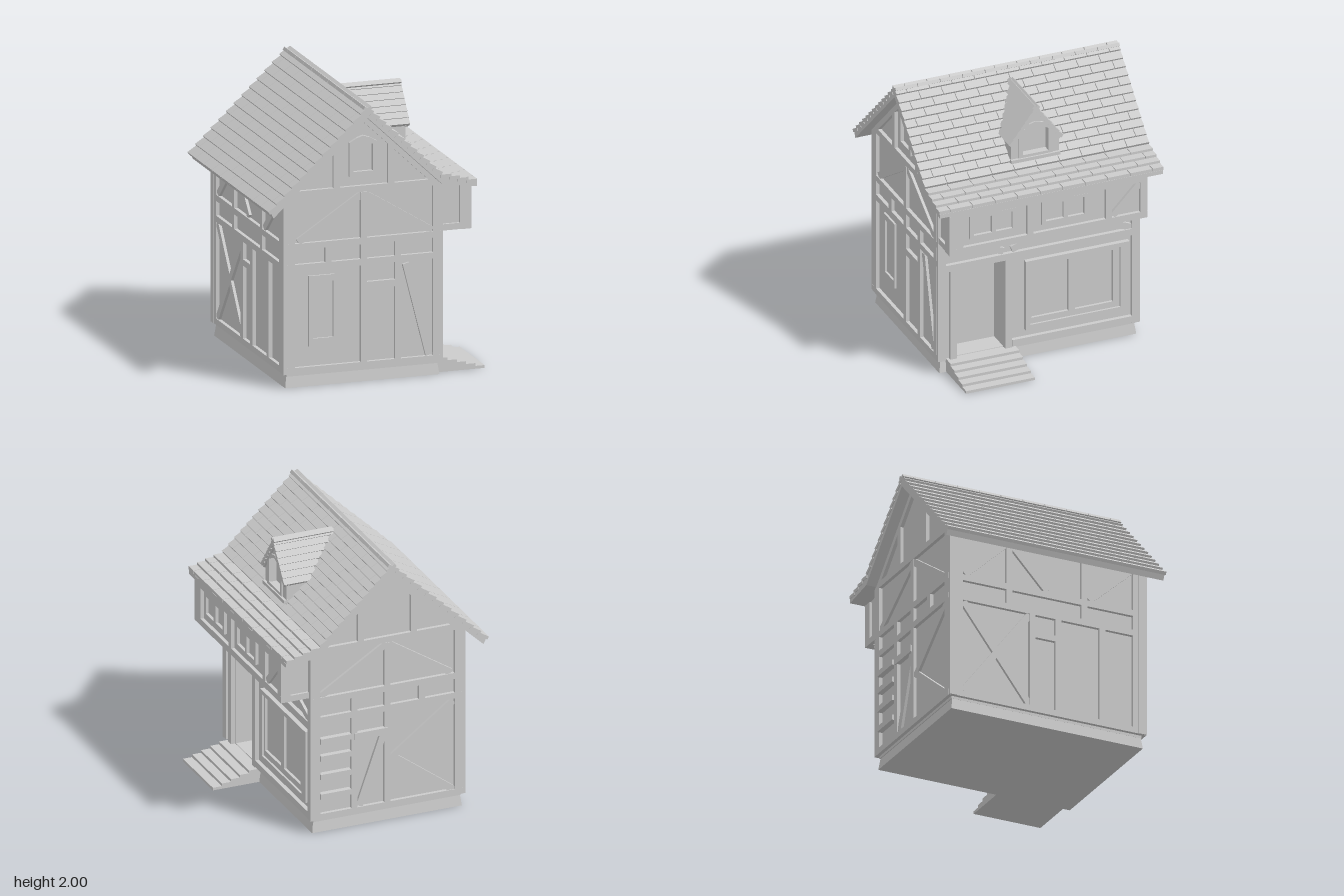
import * as THREE from 'three';
import { mergeGeometries } from 'three/addons/utils/BufferGeometryUtils.js';

const mat = new THREE.MeshStandardMaterial({ color: 0xcccccc, flatShading: true, side: THREE.DoubleSide });

const RIDGE_X = -0.09, PITCH = 0.955;
const roofY = (x) => 2 - PITCH * Math.abs(x - RIDGE_X);

function add(parent, name, geometry) {
  const mesh = new THREE.Mesh(geometry, mat);
  mesh.name = name;
  parent.add(mesh);
  return mesh;
}

// Box given by its minimum and maximum corners
function block(parent, name, x0, x1, y0, y1, z0, z1) {
  const g = new THREE.BoxGeometry(x1 - x0, y1 - y0, z1 - z0);
  return add(parent, name, g.translate((x0 + x1) / 2, (y0 + y1) / 2, (z0 + z1) / 2));
}

const toShape = (pts) => new THREE.Shape(pts.map((p) => new THREE.Vector2(...p)));
const rect = (x0, x1, y0, y1) => [[x0, y0], [x1, y0], [x1, y1], [x0, y1]];

// Outline with holes, extruded from z0 to z1
function slab(parent, name, pts, z0, z1, holes = []) {
  const shape = toShape(pts);
  shape.holes = holes.map(toShape);
  const g = new THREE.ExtrudeGeometry(shape, { depth: z1 - z0, bevelEnabled: false });
  return add(parent, name, g.translate(0, 0, z0));
}

// Timber lying on a wall plane between two points
function beam(wall, x1, y1, x2, y2, w = 0.045, d = 0.026, name = 'timber') {
  const g = new THREE.BoxGeometry(Math.hypot(x2 - x1, y2 - y1), w, d + 0.01);
  g.rotateZ(Math.atan2(y2 - y1, x2 - x1)).translate((x1 + x2) / 2, (y1 + y2) / 2, (d - 0.01) / 2);
  return add(wall, name, g);
}
const brace = (wall, ...p) => beam(wall, ...p, 0.05, 0.02, 'brace');

// Wall group: local x runs right as seen from outside, local z points outward
function wallGroup(root, name, turn, x, z) {
  const g = new THREE.Group();
  g.name = name;
  g.rotation.y = turn;
  g.position.set(x, 0, z);
  root.add(g);
  return g;
}

function clippedArch(x, w, y0, ySide, yTop) {
  const h = w / 2;
  return [[x - h, y0], [x + h, y0], [x + h, ySide], [x + h * 0.45, yTop - 0.015], [x, yTop],
    [x - h * 0.45, yTop - 0.015], [x - h, ySide]];
}

// Timbering shared by both gable ends; s mirrors x
function gableFrame(wall, s) {
  const m = (x1, y1, x2, y2, f = beam) => f(wall, s * x1, y1, s * x2, y2);
  for (const y of [0.122, 0.86, 1.01, 1.385]) m(-0.66, y, 0.47, y);
  for (const x of [-0.62, 0.44]) m(x, 0.1, x, 1.4);
  m(-0.09, 0.12, -0.09, 1.36);
  m(0.16, 0.12, 0.16, 1.01);
  m(-0.35, 0.86, -0.35, 1.01);
  m(-0.57, 1.04, -0.1, 1.345, brace);
  m(0.41, 1.04, -0.08, 1.345, brace);
  for (const x of [-0.29, 0.11]) m(x, 1.39, x, roofY(x) - 0.1);
  for (const x of [-0.66, 0.47]) m(x, roofY(x) - 0.11, RIDGE_X, 1.89);
}

// Courses of staggered tiles from a lower point up to an upper point (x, y), laid along z
function tileCourses(from, to, rows, halfLength, tileWidth, shift = 0) {
  const out = [], t = 0.024, gap = 0.005;
  const dx = (to[0] - from[0]) / rows, dy = (to[1] - from[1]) / rows;
  const angle = Math.atan2(dy - 0.018, dx), len = Math.hypot(dx, dy) * 1.2;
  for (let i = 0; i < rows; i++) {
    let z = -halfLength;
    let next = z + tileWidth * ((i + shift) % 2 ? 0.5 : 1);
    while (z < halfLength - 0.01) {
      const end = Math.min(next, halfLength);
      const g = new THREE.BoxGeometry(len, t, end - z - gap);
      g.translate(len / 2, -Math.sign(dx) * t / 2, 0).rotateZ(angle);
      out.push(g.translate(from[0] + dx * i, from[1] + dy * i, (z + end) / 2));
      z = end;
      next = z + tileWidth;
    }
  }
  return out;
}

function addRoof(root) {
  const kink = [0.46, 1.475], eaveR = [0.71, 1.405], eaveL = [-0.82, roofY(-0.82)], ridge = [RIDGE_X, 2];
  const low = (p, d) => [p[0], p[1] - d];
  slab(root, 'roofDeck', [low([-0.8, roofY(-0.8)], 0.03), low([-0.78, roofY(-0.78)], 0.09), low(ridge, 0.09),
    low(kink, 0.09), low(eaveR, 0.055), low(eaveR, 0.025), low(kink, 0.03), low(ridge, 0.03)], -0.838, 0.838);
  add(root, 'leftRoofTiles', mergeGeometries(tileCourses(eaveL, ridge, 13, 0.845, 0.169)));
  add(root, 'rightRoofTiles', mergeGeometries([
    ...tileCourses(kink, ridge, 12, 0.845, 0.169),
    ...tileCourses(eaveR, kink, 4, 0.845, 0.169, 1)]));
}

function addDormer(root) {
  const d = wallGroup(root, 'dormer', Math.PI / 2, 0.42, 0);
  const house = [[-0.18, 1.45], [0.18, 1.45], [0.18, 1.66], [0, 1.895], [-0.18, 1.66]];
  slab(d, 'dormerBody', house, -0.4, -0.05);
  slab(d, 'dormerFace', house, -0.05, 0, [clippedArch(0, 0.2, 1.55, 1.73, 1.78)]);
  slab(d, 'dormerWindowFrame', clippedArch(0, 0.25, 1.535, 1.745, 1.8), 0, 0.012,
    [clippedArch(0, 0.19, 1.555, 1.73, 1.775)]);
  beam(d, -0.185, 1.52, 0.185, 1.52, 0.025, 0.02, 'dormerSill');
  for (const s of [-1, 1]) {
    beam(d, s * 0.185, 1.64, 0, 1.885, 0.025, 0.018, 'dormerRafter');
    // Courses reach back until they meet the main roof
    const rows = 7, parts = [];
    for (let i = 0; i < rows; i++) {
      const z = 0.205 * (1 - i / rows), y = 1.66 + 0.27 * (i / rows);
      const back = (2 - y) / PITCH + RIDGE_X - 0.03, L = 0.445 - back;
      const g = new THREE.BoxGeometry(L, 0.026, 0.058).translate(0, -0.013, -0.029);
      g.rotateX(0.78);
      if (s < 0) g.rotateY(Math.PI);
      parts.push(g.translate(back + L / 2, y, s * z));
    }
    add(root, 'dormerTiles', mergeGeometries(parts));
  }
}

export function createModel() {
  const root = new THREE.Group();
  root.name = 'timberHouse';

  // Flared stone plinth
  const plinth = new THREE.BoxGeometry(1.13, 0.105, 1.48);
  const p = plinth.attributes.position;
  for (let i = 0; i < p.count; i++) if (p.getY(i) > 0) p.setXYZ(i, p.getX(i) * 0.975, p.getY(i), p.getZ(i) * 0.98);
  add(root, 'plinth', plinth.translate(-0.095, 0.0525, 0));

  // House body, leaving a deep layer on the right for the doorway
  const under = (x) => [x, roofY(x) - 0.08];
  slab(root, 'houseBody', [[-0.65, 0.08], [0.3, 0.08], [0.3, 1.3], [0.46, 1.3], under(0.46), under(RIDGE_X),
    under(-0.65)], -0.735, 0.735);
  for (const z of [-0.73, 0.73]) {
    block(root, 'leftCornerPost', -0.68, -0.61, 0.1, 1.37, z - 0.03, z + 0.03);
    block(root, 'rightCornerPost', 0.425, 0.49, 0.1, 1.37, z - 0.03, z + 0.03);
  }

  // Front gable
  const front = wallGroup(root, 'frontWall', 0, 0, 0.735);
  gableFrame(front, 1);
  brace(front, 0.22, 0.82, 0.39, 0.15);
  beam(front, -0.07, 0.69, 0.14, 0.69, 0.05);
  slab(front, 'frontWindowFrame', rect(-0.49, -0.3, 0.285, 0.79), -0.01, 0.015, [rect(-0.46, -0.31, 0.34, 0.745)]);
  slab(front, 'gableWindowFrame', clippedArch(-0.095, 0.2, 1.475, 1.72, 1.765), -0.01, 0.025,
    [clippedArch(-0.095, 0.14, 1.51, 1.7, 1.735)]);

  // Back gable with shelves and braces
  const back = wallGroup(root, 'backWall', Math.PI, 0, -0.735);
  gableFrame(back, -1);
  for (const y of [0.28, 0.43, 0.57, 0.7]) beam(back, -0.42, y, -0.19, y, 0.04, 0.04, 'shelf');
  beam(back, -0.16, 0.69, 0.09, 0.69, 0.05, 0.035);
  brace(back, -0.12, 0.15, 0.06, 0.66);
  brace(back, 0.12, 0.47, 0.59, 0.82);
  brace(back, 0.12, 0.49, 0.59, 0.14);

  // Left side wall
  const left = wallGroup(root, 'leftWall', -Math.PI / 2, -0.65, 0);
  for (const y of [0.122, 0.86, 1.01, 1.35]) beam(left, -0.73, y, 0.73, y);
  for (const u of [-0.68, -0.12, 0.08, 0.42, 0.68]) beam(left, u, 0.1, u, 0.86);
  for (const u of [-0.68, -0.3, 0.28, 0.68]) beam(left, u, 0.86, u, 1.35);
  brace(left, -0.65, 0.15, -0.14, 0.83);
  brace(left, -0.65, 0.83, -0.14, 0.15);
  beam(left, -0.12, 0.69, 0.08, 0.69);
  brace(left, -0.64, 1.04, -0.33, 1.33);
  brace(left, -0.27, 1.33, 0.0, 1.04);
  brace(left, 0.32, 1.04, 0.64, 1.33);

  // Right side wall with doorway and large double window
  const right = wallGroup(root, 'rightWall', Math.PI / 2, 0.46, 0);
  slab(right, 'rightWallPanel', rect(-0.735, 0.735, 0.08, 1.31), -0.16, 0, [rect(-0.605, -0.255, 0.1, 0.79)]);
  beam(right, -0.73, 0.815, 0.73, 0.815, 0.05, 0.03);
  for (const u of [-0.64, -0.228]) beam(right, u, 0.1, u, 0.8, 0.05, 0.03);
  beam(right, -0.2, 0.13, 0.73, 0.13, 0.05, 0.03);
  brace(right, -0.66, 1.02, -0.26, 0.86);
  brace(right, -0.2, 0.86, 0.23, 1.02);
  brace(right, 0.26, 1.02, 0.72, 0.84);
  slab(right, 'bigWindowSurround', rect(-0.1, 0.68, 0.21, 0.75), -0.01, 0.035, [rect(-0.065, 0.61, 0.25, 0.72)]);
  slab(right, 'bigWindowSash', rect(-0.065, 0.61, 0.25, 0.72), -0.01, 0.02,
    [rect(-0.05, 0.225, 0.295, 0.7), rect(0.275, 0.56, 0.295, 0.7)]);

  // Jettied upper bay on the right
  slab(root, 'bayBody', [[0.44, 1.035], [0.675, 1.035], [0.675, 1.36], [0.44, 1.42]], -0.71, 0.735);
  const bay = wallGroup(root, 'bayWall', Math.PI / 2, 0.675, 0);
  beam(bay, -0.755, 1.055, 0.725, 1.055, 0.05);
  beam(bay, -0.755, 1.33, 0.725, 1.33, 0.035);
  for (const u of [-0.735, -0.68, -0.152, 0.435, 0.695]) beam(bay, u, 1.04, u, 1.34);
  brace(bay, 0.47, 1.09, 0.67, 1.3);
  for (const u of [-0.605, -0.065]) {
    slab(bay, 'bayWindow', rect(u, u + 0.345, 1.13, 1.31), -0.01, 0.022,
      [rect(u + 0.03, u + 0.163, 1.155, 1.285), rect(u + 0.195, u + 0.318, 1.155, 1.285)]);
  }
  block(root, 'bayFrontPost', 0.615, 0.7, 1.03, 1.35, 0.7, 0.76);
  block(root, 'bayFrontSill', 0.48, 0.7, 1.03, 1.075, 0.72, 0.755);
  block(root, 'bayBackPost', 0.63, 0.7, 1.03, 1.35, -0.727, -0.68);
  block(root, 'bayBackSill', 0.48, 0.7, 1.03, 1.075, -0.727, -0.7);

  // Door steps
  for (let i = 0; i < 5; i++) {
    block(root, 'doorStep', 0.44, 0.82 - i * 0.068, i * 0.02, 0.02 + i * 0.02, 0.172, 0.688);
  }

  addRoof(root);
  addDormer(root);
  return root;
}
